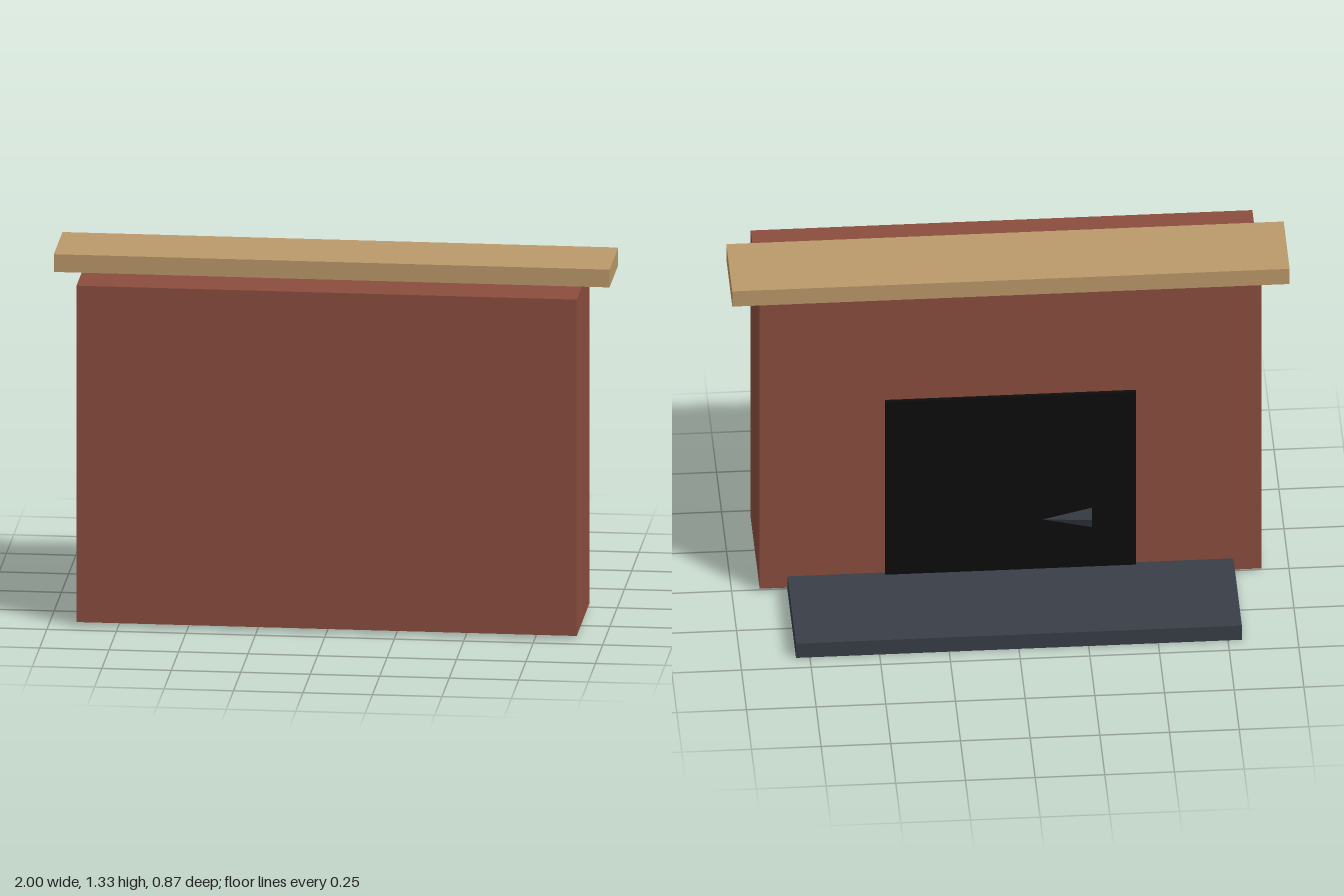
import * as THREE from 'three';

const material = (name, color, flatShading = false) => {
  const m = new THREE.MeshStandardMaterial({ color, flatShading });
  m.name = name;
  return m;
};

// Box given by its half width and its y and z ranges, centred on x
function slab(name, halfWidth, [y0, y1], [z0, z1], mat) {
  const mesh = new THREE.Mesh(new THREE.BoxGeometry(halfWidth * 2, y1 - y0, z1 - z0), mat);
  mesh.position.set(0, (y0 + y1) / 2, (z0 + z1) / 2);
  mesh.name = name;
  return mesh;
}

export function createModel() {
  const brick = material('brick', 0x8a4d3e);
  const wood = material('oak', 0xbb986a);
  const slate = material('slate', 0x383e47, true);
  const soot = material('soot', 0x0c0c0c);

  const fireplace = new THREE.Group();
  fireplace.name = 'fireplace';

  fireplace.add(
    slab('chimneyBreast', 0.9, [0.013, 1.262], [-0.012, 0.437], brick),
    slab('mantelShelf', 1, [1.262, 1.328], [-0.037, 0.262], wood),
    slab('firebox', 0.45, [0.008, 0.812], [-0.027, 0.172], soot),
    slab('hearth', 0.8, [0, 0.062], [-0.437, 0.062], slate),
  );

  // Log lying askew in the firebox, one end poking out of the opening
  const log = new THREE.Mesh(new THREE.CylinderGeometry(0.085, 0.085, 0.6, 8), slate);
  log.name = 'log';
  log.rotation.set(0, -0.1, Math.PI / 2);
  log.position.set(0, 0.275, 0.07);
  fireplace.add(log);

  return fireplace;
}
